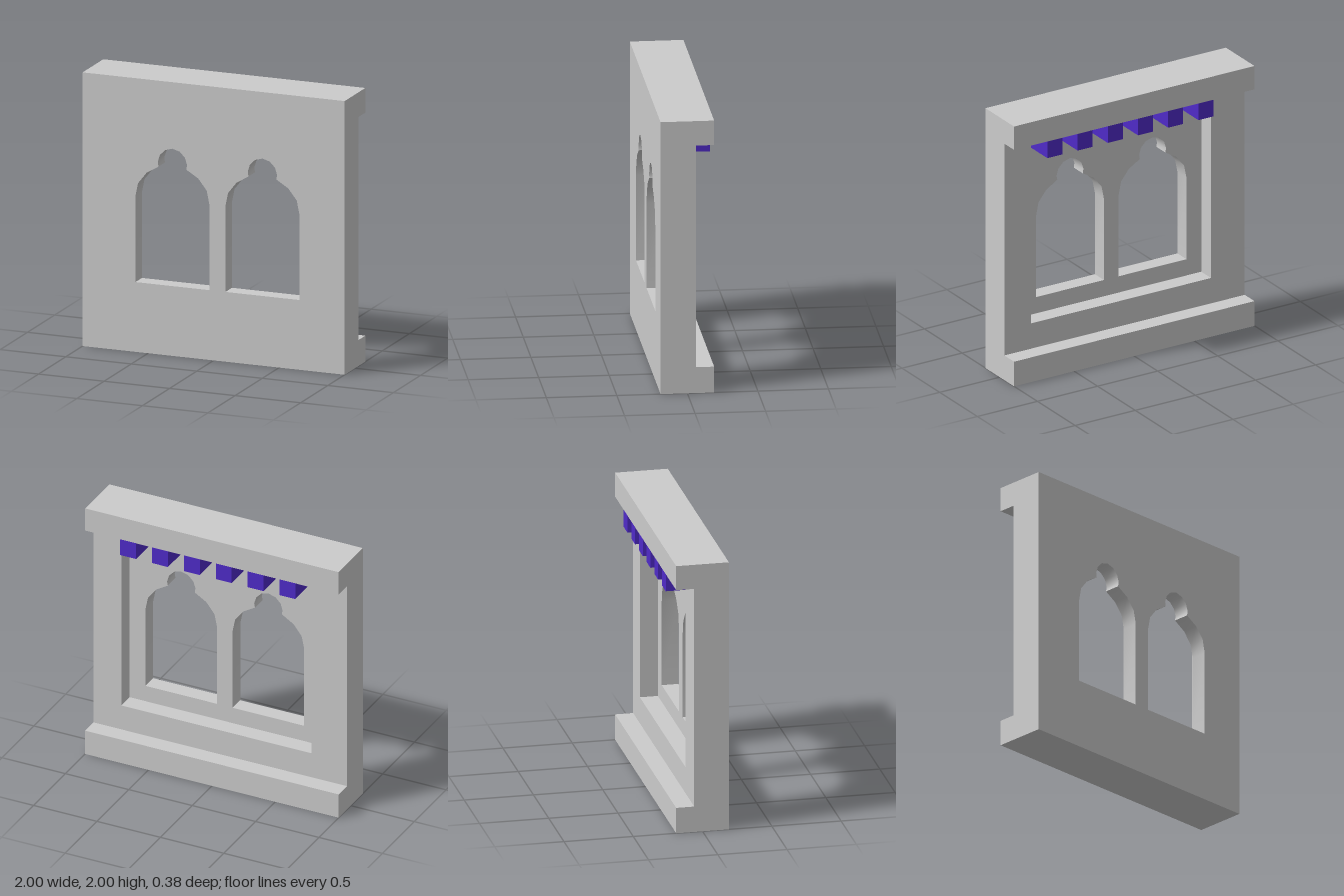
import * as THREE from 'three';
import { toCreasedNormals } from 'three/addons/utils/BufferGeometryUtils.js';

const FRONT = 0.19, PANEL_BACK = 0.07, FRAME_BACK = -0.06, BACK = -0.19;

const grey = new THREE.MeshStandardMaterial({ color: 0xcccccc });
const purple = new THREE.MeshStandardMaterial({ color: 0x4f2bc8 });

// Half of the arched opening: [offset from centre line, height], bottom to crown
const ARCH = [
  [0.282, 0.51], [0.282, 1.137], [0.262, 1.235], [0.197, 1.317], [0.106, 1.372],
  [0.112, 1.405], [0.096, 1.457], [0.056, 1.498],
];

function archHole(cx) {
  const right = ARCH.map(([x, y]) => new THREE.Vector2(cx + x, y));
  const left = ARCH.map(([x, y]) => new THREE.Vector2(cx - x, y)).reverse();
  return new THREE.Path([...right, new THREE.Vector2(cx, 1.514), ...left]);
}

function polygon(points) {
  return new THREE.Shape(points.map(([x, y]) => new THREE.Vector2(x, y)));
}

function addMesh(group, name, geometry, material = grey) {
  const mesh = new THREE.Mesh(geometry, material);
  mesh.name = name;
  group.add(mesh);
  return mesh;
}

// Extrudes a shape in the xy plane between two depths
function slab(shape, z0, z1) {
  const geometry = new THREE.ExtrudeGeometry(shape, { depth: z1 - z0, bevelEnabled: false });
  geometry.translate(0, 0, z0);
  return toCreasedNormals(geometry, 0.6);
}

// Box given by its limits on each axis
function block(x0, x1, y0, y1, z0, z1) {
  return new THREE.BoxGeometry(x1 - x0, y1 - y0, z1 - z0)
    .translate((x0 + x1) / 2, (y0 + y1) / 2, (z0 + z1) / 2);
}

export function createModel() {
  const model = new THREE.Group();
  model.name = 'windowWall';

  // Front panel pierced by two arched windows
  const panel = polygon([[-1, 0], [1, 0], [1, 2], [-1, 2]]);
  panel.holes.push(archHole(-0.315), archHole(0.372));
  addMesh(model, 'windowPanel', slab(panel, PANEL_BACK, FRONT));

  // U-shaped frame around the recess, slightly off centre
  const frame = polygon([
    [-1, 0], [1, 0], [1, 1.82], [0.78, 1.82],
    [0.78, 0.385], [-0.72, 0.385], [-0.72, 1.82], [-1, 1.82],
  ]);
  addMesh(model, 'recessFrame', slab(frame, FRAME_BACK, PANEL_BACK));

  // Projecting rails on the back
  addMesh(model, 'topRail', block(-1, 1, 1.82, 2, BACK, PANEL_BACK));
  addMesh(model, 'bottomRail', block(-1, 1, 0, 0.19, BACK, FRAME_BACK));

  // Row of bracket blocks beneath the top rail
  const brackets = new THREE.Group();
  brackets.name = 'brackets';
  for (let i = 0; i < 6; i++) {
    const x = -0.658 + i * 0.2512;
    addMesh(brackets, 'bracket', block(x, x + 0.125, 1.692, 1.82, BACK, PANEL_BACK), purple);
  }
  model.add(brackets);

  return model;
}
